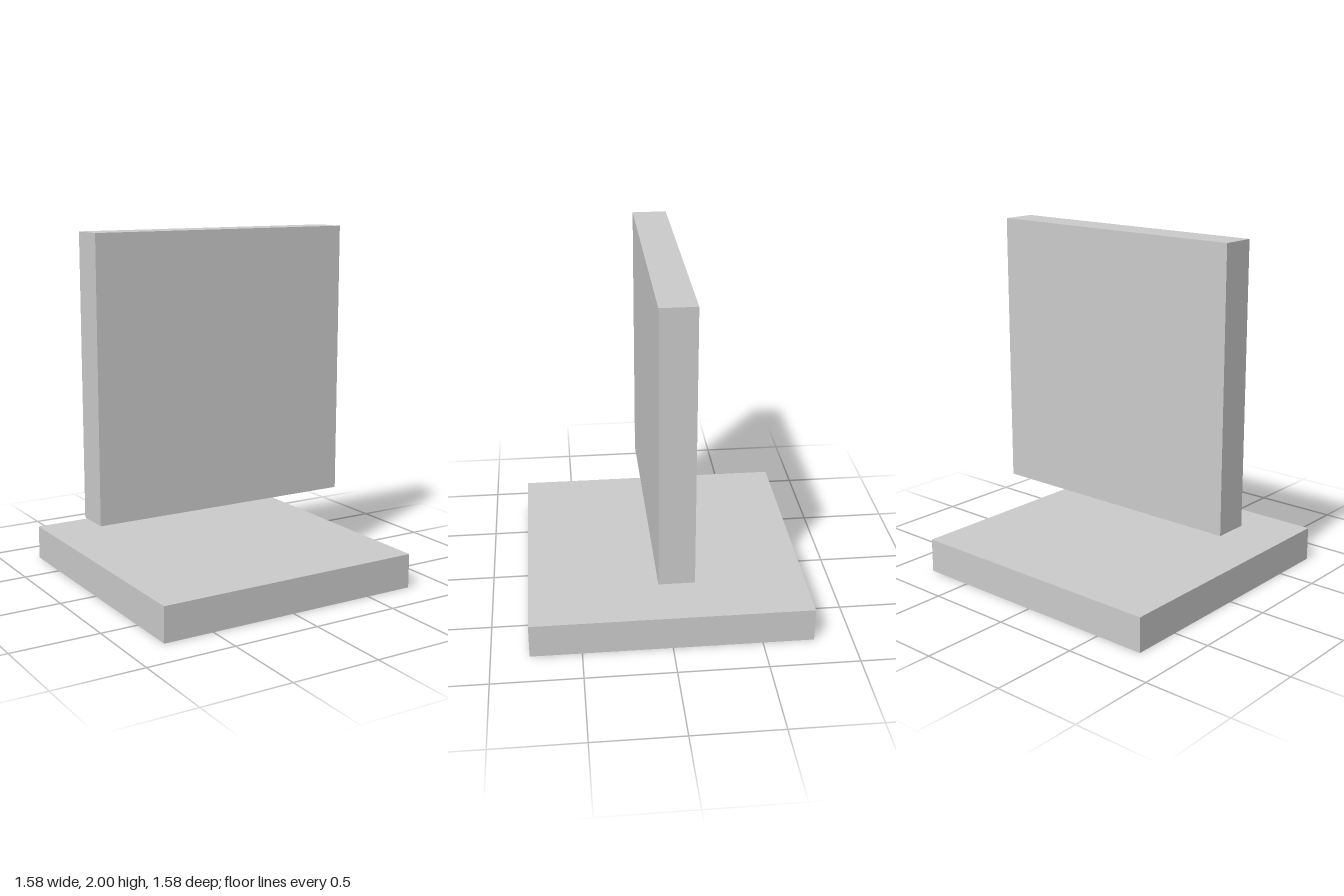
import * as THREE from 'three';

const SIZE = 1.575; // side of both square slabs
const THICK = 0.197;

export function createModel() {
  const model = new THREE.Group();
  model.name = 'model';
  const material = new THREE.MeshStandardMaterial({ color: 0xcccccc, flatShading: true });

  const addSlab = (name, height, depth, y, z) => {
    const slab = new THREE.Mesh(new THREE.BoxGeometry(SIZE, height, depth), material);
    slab.name = name;
    slab.position.set(0, y, z);
    model.add(slab);
  };

  // Flat square base on the ground
  addSlab('base', THICK, SIZE, THICK / 2, 0);

  // Upright square panel floating above it, set slightly back
  addSlab('uprightPanel', SIZE, THICK, 2 - SIZE / 2, -0.016);

  return model;
}
